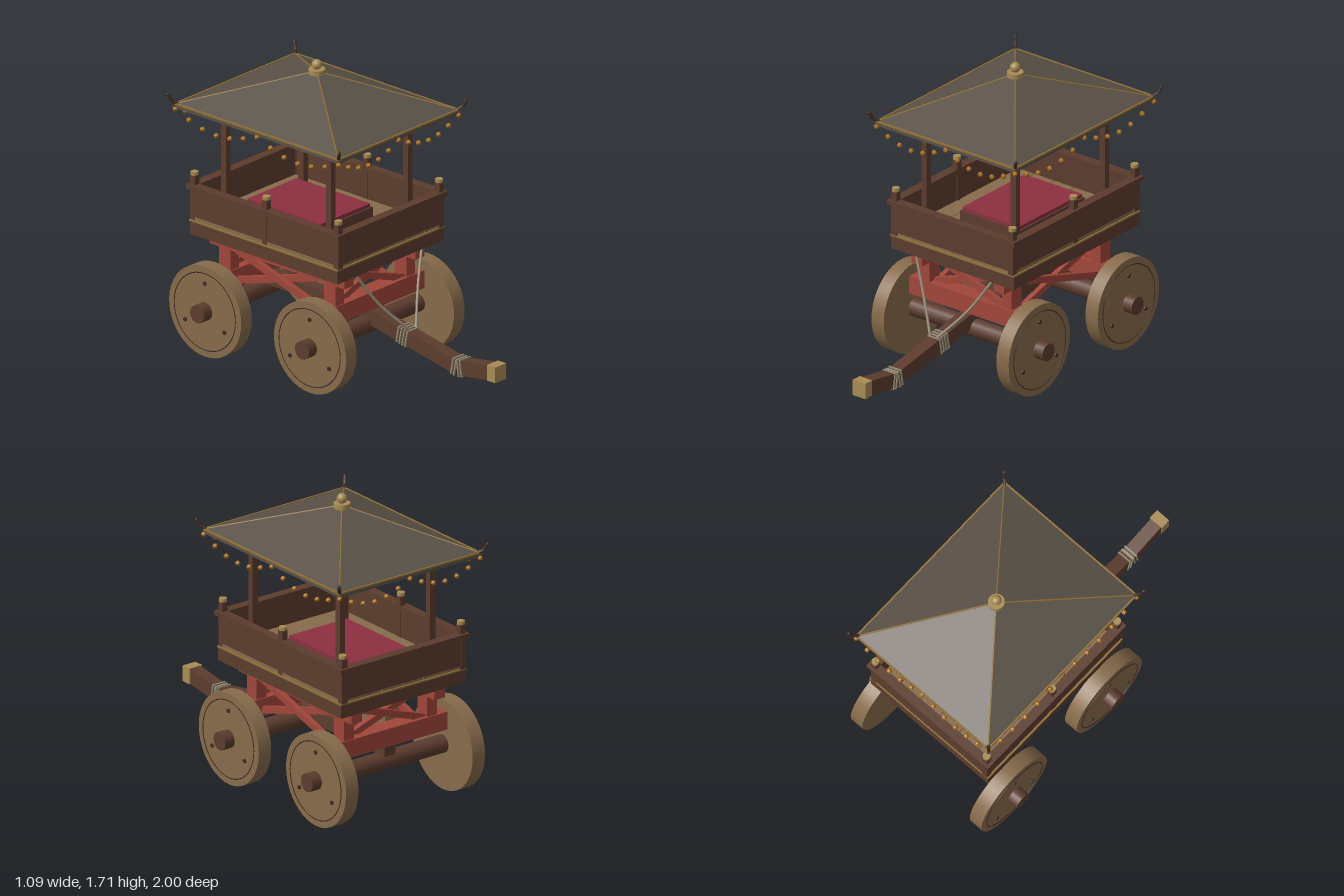
import * as THREE from 'three';

const mat = (name, color, extra = {}) => {
  const m = new THREE.MeshStandardMaterial({ color, ...extra });
  m.name = name;
  return m;
};

export function createModel() {
  const wood = mat('dark wood', 0x5c3c2e);
  const red = mat('red painted wood', 0xa0463a);
  const tan = mat('pale wood', 0x876b4b);
  const slate = mat('roof cloth', 0x5a5247, { flatShading: true });
  const brass = mat('brass', 0xa88c55);
  const trim = mat('gilt trim', 0x8f6f38);
  const gold = mat('gold bells', 0xa86e1c, { flatShading: true });
  const rope = mat('rope', 0x938a74);
  const crimson = mat('crimson cloth', 0x8c2f40);
  const iron = mat('dark iron', 0x3f2c25);

  const model = new THREE.Group();
  model.name = 'cart';
  const V = (x, y, z) => new THREE.Vector3(x, y, z);
  const CZ = -0.35; // middle of the body
  const AXLES = [0.035, -0.735];

  const add = (name, geo, material, x = 0, y = 0, z = 0, parent = model) => {
    const m = new THREE.Mesh(geo, material);
    m.name = name;
    m.position.set(x, y, z);
    parent.add(m);
    return m;
  };
  const box = (name, material, w, h, d, x, y, z) =>
    add(name, new THREE.BoxGeometry(w, h, d), material, x, y, z);
  // square bar running from a to b
  const bar = (name, material, a, b, w, h) => {
    const m = box(name, material, w, h, a.distanceTo(b), 0, 0, 0);
    m.position.copy(a).lerp(b, 0.5);
    m.lookAt(b);
    return m;
  };
  const tube = (name, material, points, r, n = 8) =>
    add(name, new THREE.TubeGeometry(new THREE.CatmullRomCurve3(points), n, r, 6), material);
  // cylinder lying along x
  const disc = (r, w, n) => new THREE.CylinderGeometry(r, r, w, n).rotateZ(Math.PI / 2);

  // Wheels and axles
  for (const z of AXLES) {
    add('axle', disc(0.052, 1.09, 16), wood, 0, 0.268, z);
    for (const s of [-1, 1]) {
      const wheel = new THREE.Group();
      wheel.name = 'wheel';
      wheel.position.set(s * 0.437, 0.265, z);
      model.add(wheel);
      add('wheelDisc', disc(0.265, 0.086, 40), tan, 0, 0, 0, wheel);
      add('wheelRing', new THREE.TorusGeometry(0.225, 0.003, 4, 40).rotateY(Math.PI / 2), iron, s * 0.046, 0, 0, wheel);
      for (let i = 0; i < 3; i++) {
        const a = Math.PI / 2 + (i * Math.PI * 2) / 3;
        add('wheelBolt', disc(0.012, 0.016, 8), iron, s * 0.043, Math.sin(a) * 0.166, Math.cos(a) * 0.166, wheel);
      }
    }
  }

  // Red undercarriage: bolsters, posts, rails and cross braces
  for (const z of AXLES) {
    box('bolster', red, 0.78, 0.104, 0.1, 0, 0.418, z);
    for (const s of [-1, 1]) {
      box('framePost', red, 0.068, 0.13, 0.086, s * 0.287, 0.53, z);
      bar('endBrace', red, V(-0.29, 0.55 + s * 0.1, z + s * 0.012), V(0.29, 0.55 - s * 0.1, z + s * 0.012), 0.03, 0.038);
    }
  }
  for (const x of [-0.287, 0.287]) {
    box('sideRail', red, 0.074, 0.075, 0.993, x, 0.628, CZ);
    for (const s of [-1, 1])
      bar('sideBrace', red, V(x + s * 0.012, 0.505 + s * 0.115, 0.03), V(x + s * 0.012, 0.505 - s * 0.115, -0.73), 0.03, 0.038);
  }

  // Reach beam and bent draw pole with rope bindings
  const bend = V(0, 0.198, 0.71), root = V(0, 0.325, 0.04), tip = V(0, 0.237, 0.96);
  box('reachBeam', wood, 0.075, 0.075, 0.85, 0, 0.343, CZ);
  bar('poleRear', wood, root, bend, 0.075, 0.085);
  bar('poleFront', wood, bend, tip, 0.075, 0.085);
  box('poleCap', brass, 0.088, 0.092, 0.06, 0, 0.236, 0.97);
  const binding = (z, n) => {
    for (let i = 0; i < n; i++) {
      const zi = z + i * 0.021;
      const y = zi < bend.z
        ? THREE.MathUtils.mapLinear(zi, root.z, bend.z, root.y, bend.y)
        : THREE.MathUtils.mapLinear(zi, bend.z, tip.z, bend.y, tip.y);
      box('binding', rope, 0.088, 0.097, 0.009, 0, y, zi).rotation.x = zi < bend.z ? 0.19 : -0.15;
    }
  };
  binding(0.28, 4);
  binding(0.68, 4);
  for (const s of [-1, 1])
    tube('stayRope', rope, [V(s * 0.27, 0.67, 0.175), V(s * 0.155, 0.48, 0.25), V(s * 0.025, 0.32, 0.355)], 0.008);

  // Deck with planked floor
  box('deckFrame', wood, 0.86, 0.078, 1.084, 0, 0.704, CZ);
  box('deckTrim', trim, 0.868, 0.009, 1.092, 0, 0.746, CZ);
  for (let i = 0; i < 6; i++)
    box('floorPlank', tan, 0.138, 0.022, 1.07, (i - 2.5) * 0.142, 0.76, CZ);

  // Side walls and top rails
  for (const s of [-1, 1]) {
    box('sideWall', wood, 0.03, 0.165, 1.09, s * 0.41, 0.853, CZ);
    box('endWall', wood, 0.85, 0.165, 0.03, 0, 0.853, CZ + s * 0.53);
    box('sideTopRail', wood, 0.055, 0.026, 1.12, s * 0.418, 0.943, CZ);
    box('endTopRail', wood, 0.89, 0.026, 0.055, 0, 0.943, CZ + s * 0.533);
    for (const dz of [-0.528, 0, 0.528]) {
      box('railPost', wood, 0.036, 0.262, 0.036, s * 0.408, 0.881, CZ + dz);
      add('railPostCap', new THREE.CylinderGeometry(0.022, 0.022, 0.02, 12), brass, s * 0.408, 1.02, CZ + dz);
    }
  }

  // Seat platform
  box('seatBase', wood, 0.42, 0.07, 0.56, 0, 0.803, -0.41);
  box('seatCushion', crimson, 0.4, 0.022, 0.54, 0, 0.848, -0.41);

  // Canopy posts and frame
  for (const x of [-0.312, 0.312]) {
    for (const z of AXLES) box('canopyPost', wood, 0.037, 0.62, 0.037, x, 1.07, z);
    box('canopySideBeam', wood, 0.045, 0.036, 0.85, x, 1.385, CZ);
  }
  for (const z of AXLES) box('canopyEndBeam', wood, 0.72, 0.034, 0.045, 0, 1.384, z);

  // Pyramid roof with edge and hip trim
  const RX = 0.485, RZ = 0.6, EAVE = 1.43, APEX = 1.64;
  box('roofEdge', slate, RX * 2, 0.025, RZ * 2, 0, EAVE - 0.0125, CZ);
  const cone = new THREE.ConeGeometry(Math.SQRT2, APEX - EAVE, 4).rotateY(Math.PI / 4).scale(RX, 1, RZ);
  add('roof', cone, slate, 0, (APEX + EAVE) / 2, CZ);
  for (const s of [-1, 1]) {
    box('eaveTrim', trim, 0.01, 0.01, RZ * 2 + 0.01, s * RX, EAVE, CZ);
    box('eaveTrim', trim, RX * 2 + 0.01, 0.01, 0.01, 0, EAVE, CZ + s * RZ);
    for (const t of [-1, 1]) {
      const x = s * RX, z = CZ + t * RZ;
      tube('hipTrim', trim, [V(x, EAVE, z), V(0, APEX, CZ)], 0.005, 1);
      tube('cornerHorn', iron, [V(x * 0.98, 1.432, z - t * 0.01), V(x + s * 0.013, 1.449, z + t * 0.013), V(x + s * 0.028, 1.485, z + t * 0.03)], 0.01);
      add('hornTip', new THREE.SphereGeometry(0.01, 8, 6), iron, x + s * 0.028, 1.485, z + t * 0.03);
    }
  }

  // Finial
  add('finialBase', new THREE.CylinderGeometry(0.046, 0.046, 0.028, 20), brass, 0, 1.641, CZ);
  add('finialBall', new THREE.SphereGeometry(0.029, 20, 14), brass, 0, 1.68, CZ);

  // Swags of bells, two scallops on each side
  const bell = new THREE.IcosahedronGeometry(0.016, 0);
  for (let i = 0; i <= 12; i++) {
    const t = i / 6 - 1;
    const y = 1.4 - 0.075 * Math.abs(Math.sin(Math.PI * t));
    for (const s of [-1, 1]) {
      add('bell', bell, gold, t * RX, y, CZ + s * RZ);
      if (i > 0 && i < 12) add('bell', bell, gold, s * RX, y, CZ + t * RZ);
    }
  }
  return model;
}
